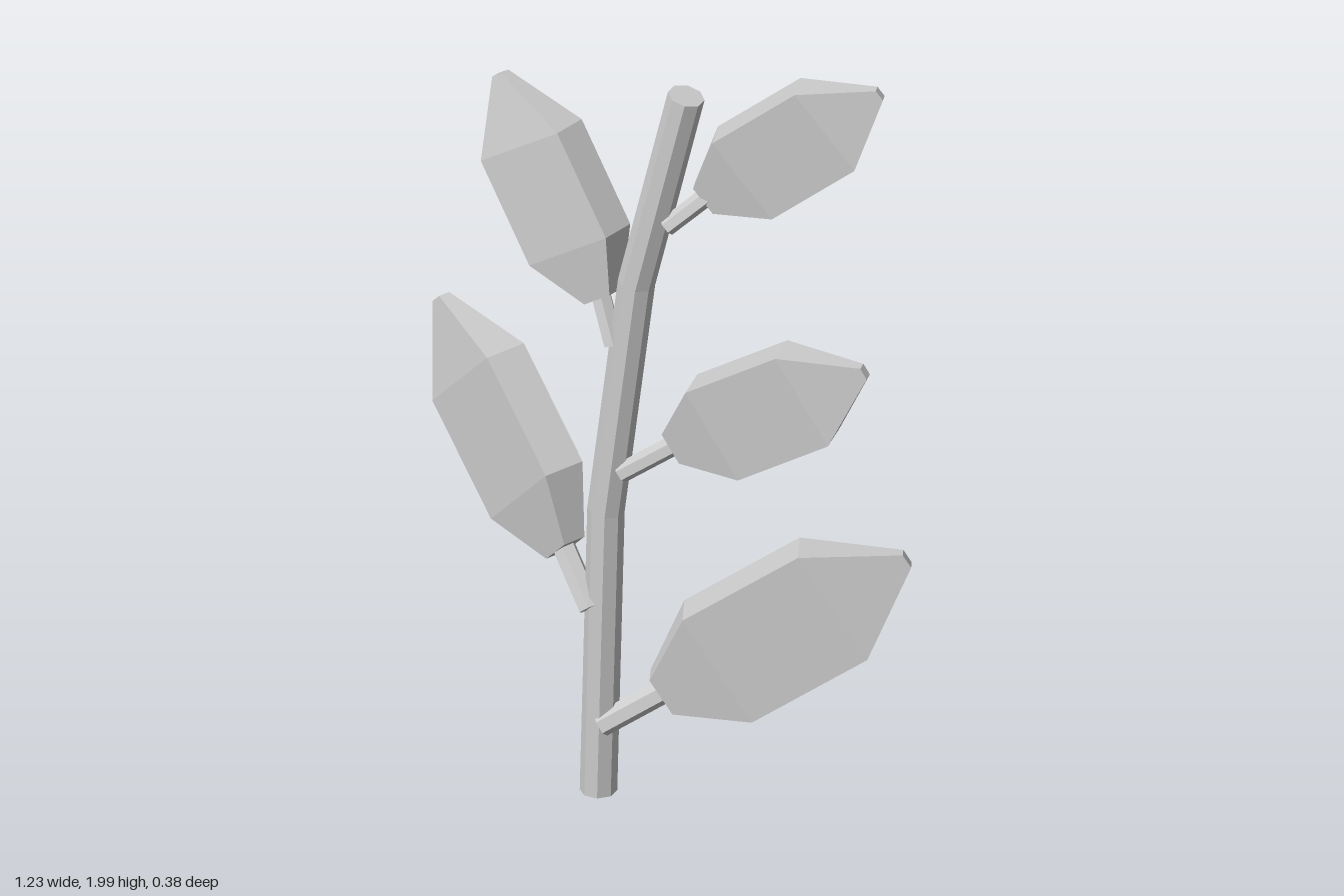
import * as THREE from 'three';

const material = new THREE.MeshStandardMaterial({ color: 0xcccccc, flatShading: true });
const vec = (p) => new THREE.Vector3(...p);

// Closed skin over rings of points that run counter-clockwise around the path
function loft(rings) {
  const n = rings[0].length;
  const points = rings.flat();
  const index = [];
  for (let r = 0; r < rings.length - 1; r++) {
    for (let i = 0; i < n; i++) {
      const a = r * n + i, b = r * n + (i + 1) % n;
      index.push(a, b, b + n, a, b + n, a + n);
    }
  }
  const last = (rings.length - 1) * n;
  for (let i = 1; i < n - 1; i++) {
    index.push(0, i + 1, i);
    index.push(last, last + i, last + i + 1);
  }
  const geometry = new THREE.BufferGeometry().setFromPoints(points);
  geometry.setIndex(index);
  const flat = geometry.toNonIndexed();
  flat.computeVertexNormals();
  return flat;
}

function addMesh(parent, name, geometry) {
  const mesh = new THREE.Mesh(geometry, material);
  mesh.name = name;
  parent.add(mesh);
}

// Faceted rod along a bent path
function rod(path, radius, sides) {
  const rings = path.map((p, k) => {
    const axis = path[Math.min(k + 1, path.length - 1)].clone()
      .sub(path[Math.max(k - 1, 0)]).normalize();
    if (k === 0 && path.length > 2) axis.set(0, 1, 0);
    const front = new THREE.Vector3(0, 0, 1);
    front.addScaledVector(axis, -front.dot(axis)).normalize();
    const side = new THREE.Vector3().crossVectors(axis, front);
    return Array.from({ length: sides }, (_, i) => {
      const t = ((i + 0.5) / sides) * Math.PI * 2;
      return p.clone()
        .addScaledVector(front, radius * Math.cos(t))
        .addScaledVector(side, radius * Math.sin(t));
    });
  });
  return loft(rings);
}

// Thick leaf: four rectangular sections [position, width, thickness], relative to length
const SECTIONS = [[0, 0.15, 0.09], [0.23, 0.455, 0.165], [0.7, 0.455, 0.165], [1, 0.055, 0.045]];

function leafBlade(base, tip, facing) {
  const axis = tip.clone().sub(base);
  const length = axis.length();
  axis.normalize();
  const normal = facing.clone().addScaledVector(axis, -facing.dot(axis)).normalize();
  const across = new THREE.Vector3().crossVectors(normal, axis);
  const corners = [[1, 1], [-1, 1], [-1, -1], [1, -1]];
  return loft(SECTIONS.map(([t, w, d]) => corners.map(([u, v]) => base.clone()
    .addScaledVector(axis, t * length)
    .addScaledVector(across, u * w * length / 2)
    .addScaledVector(normal, v * d * length / 2))));
}

const LEAVES = [
  { name: 'lowerLeftLeaf', root: [-0.05, 0.195, 0.15], base: [0.08, 0.285, 0.085], tip: [0.605, 0.65, -0.178], facing: [0.42, 0.06, 0.9] },
  { name: 'lowerRightLeaf', root: [-0.075, 0.51, 0.155], base: [-0.165, 0.63, 0.11], tip: [-0.595, 1.115, -0.08], facing: [-0.4, -0.05, 0.9] },
  { name: 'middleLeftLeaf', root: [0, 0.89, 0.14], base: [0.125, 0.985, 0.11], tip: [0.605, 1.27, 0.045], facing: [0.2, 0, 0.97] },
  { name: 'upperRightLeaf', root: [-0.02, 1.235, 0.14], base: [-0.06, 1.345, 0.115], tip: [-0.375, 1.838, 0.04], facing: [-0.17, 0.03, 0.98] },
  { name: 'topLeftLeaf', root: [0.12, 1.59, 0.14], base: [0.195, 1.665, 0.085], tip: [0.6, 1.983, -0.045], facing: [0.33, 0.03, 0.94] },
];

export function createModel() {
  const model = new THREE.Group();
  model.name = 'leafyBranch';

  // Bent main stem
  const stemPath = [[-0.07, 0, 0.122], [-0.05, 0.77, 0.122], [0.032, 1.41, 0.122], [0.165, 1.95, 0.122]];
  addMesh(model, 'stem', rod(stemPath.map(vec), 0.045, 8));

  // Leaves on short stalks
  for (const { name, root, base, tip, facing } of LEAVES) {
    const leaf = new THREE.Group();
    leaf.name = name;
    const [r, b, t] = [root, base, tip].map(vec);
    const end = b.clone().lerp(t, 0.05);
    addMesh(leaf, 'stalk', rod([r, end], b.distanceTo(t) * 0.044, 6));
    addMesh(leaf, 'blade', leafBlade(b, t, vec(facing)));
    model.add(leaf);
  }
  return model;
}
